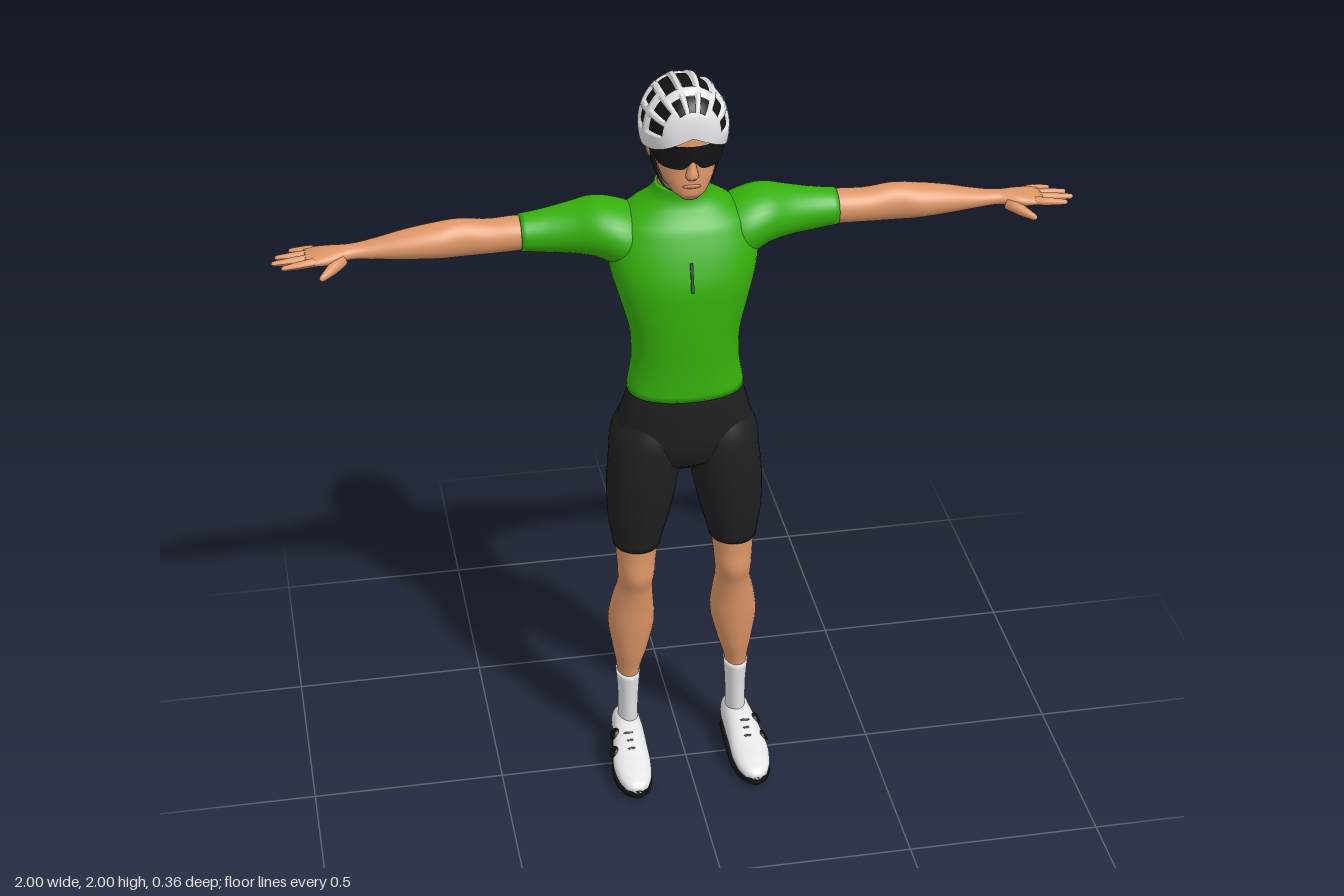
import * as THREE from 'three';

const paint = (name, color, side = THREE.FrontSide) => {
  const m = new THREE.MeshStandardMaterial({ color, side });
  m.name = name;
  return m;
};

// Catmull-Rom value between b and c
const spline = (a, b, c, d, t) =>
  0.5 * (2 * b + (c - a) * t + (2 * a - 5 * b + 4 * c - d) * t * t + (3 * b - a - 3 * c + d) * t ** 3);

// Smooth capped body through oval sections. A row is [position on axis, centre 1, centre 2, radius 1, radius 2];
// the centres and radii are x,z for axis y; y,z for axis x; x,y for axis z. Power below 1 makes boxier ovals.
function loft(axis, rows, power = 1, sides = 32, steps = 5) {
  const rings = [];
  const last = rows.length - 1;
  for (let i = 0; i < last; i++) {
    const r = [rows[Math.max(i - 1, 0)], rows[i], rows[i + 1], rows[Math.min(i + 2, last)]];
    for (let k = 0; k < steps; k++) {
      rings.push(rows[i].map((v, n) => n === 0
        ? v + (rows[i + 1][0] - v) * k / steps
        : spline(r[0][n], r[1][n], r[2][n], r[3][n], k / steps)));
    }
  }
  rings.push(rows[last]);
  const pos = [], index = [];
  const place = (s, u, v) => pos.push(...(axis === 'y' ? [u, s, v] : axis === 'x' ? [s, u, v] : [u, v, s]));
  const bend = v => Math.sign(v) * Math.abs(v) ** power;
  for (const [s, c1, c2, r1, r2] of rings) {
    for (let j = 0; j < sides; j++) {
      const a = (j / sides) * Math.PI * 2 * (axis === 'y' ? -1 : 1);
      place(s, c1 + r1 * bend(Math.cos(a)), c2 + r2 * bend(Math.sin(a)));
    }
  }
  const n = rings.length;
  for (let i = 0; i < n - 1; i++) {
    for (let j = 0; j < sides; j++) {
      const a = i * sides + j, b = i * sides + (j + 1) % sides;
      index.push(a, b, b + sides, a, b + sides, a + sides);
    }
  }
  place(...rings[0].slice(0, 3));
  place(...rings[n - 1].slice(0, 3));
  for (let j = 0; j < sides; j++) {
    const k = (j + 1) % sides, top = (n - 1) * sides;
    index.push(n * sides, k, j, n * sides + 1, top + j, top + k);
  }
  const g = new THREE.BufferGeometry();
  g.setAttribute('position', new THREE.Float32BufferAttribute(pos, 3));
  g.setIndex(index);
  g.computeVertexNormals();
  return g;
}

// Copy of a geometry on the other side of x = 0
function mirrored(geo) {
  const g = geo.clone().scale(-1, 1, 1);
  const ix = g.index.array;
  for (let i = 0; i < ix.length; i += 3) [ix[i], ix[i + 1]] = [ix[i + 1], ix[i]];
  g.computeVertexNormals();
  return g;
}

// Tapered finger with a round tip
function finger(from, to, r0, r1) {
  const a = new THREE.Vector3(...from), dir = new THREE.Vector3(...to).sub(a), len = dir.length();
  const profile = [[0.0001, 0], [r0, 0], [r0 * 0.9, len * 0.45], [r1, len - r1], [r1 * 0.7, len - r1 * 0.3], [0.0001, len]];
  const g = new THREE.LatheGeometry(profile.map(p => new THREE.Vector2(...p)), 10);
  g.applyQuaternion(new THREE.Quaternion().setFromUnitVectors(new THREE.Vector3(0, 1, 0), dir.normalize()));
  return g.translate(...from);
}

const tube = (points, r) =>
  new THREE.TubeGeometry(new THREE.CatmullRomCurve3(points.map(p => new THREE.Vector3(...p))), 24, r, 6);

// Helmet dome with sunken vents between ribs running front to back; group 0 is shell, group 1 is vents
function helmetGeometry() {
  const nt = 72, np = 108, pos = [], mask = [], shell = [], vents = [];
  const slots = [[0.38, 0.85], [1.02, 2.25], [2.4, 2.82]];
  const sideSlots = [[0.6, 1.15], [1.35, 1.85], [2.05, 2.6]];
  for (let i = 0; i <= nt; i++) {
    const t = (i / nt) * Math.PI;
    for (let j = 0; j <= np; j++) {
      const deg = -18 + (216 * j) / np, off = Math.abs(deg - 90), phi = deg * Math.PI / 180;
      const lane = Math.round(off / 26);
      const open = lane < 4 && Math.abs(off - lane * 26) < 8.5
        && (lane > 1 ? sideSlots : slots).some(([a, b]) => t > a && t < b);
      const s = Math.sin(t) ** 0.65 * (open ? 0.92 : 1);
      const z = -0.032 + 0.133 * Math.cos(t);
      pos.push(0.108 * s * Math.cos(phi), 1.868 + 0.15 * (z + 0.03) + 0.131 * s * Math.sin(phi), z);
      mask.push(open);
    }
  }
  for (let i = 0; i < nt; i++) {
    for (let j = 0; j < np; j++) {
      const a = i * (np + 1) + j, b = a + 1, c = b + np + 1, d = a + np + 1;
      (mask[a] && mask[b] && mask[c] && mask[d] ? vents : shell).push(a, b, c, a, c, d);
    }
  }
  const g = new THREE.BufferGeometry();
  g.setAttribute('position', new THREE.Float32BufferAttribute(pos, 3));
  g.setIndex([...shell, ...vents]);
  g.addGroup(0, shell.length, 0);
  g.addGroup(shell.length, vents.length, 1);
  g.computeVertexNormals();
  return g;
}

export function createModel() {
  const model = new THREE.Group();
  model.name = 'cyclist';
  const skin = paint('skin', 0xdc9566), lip = paint('lips', 0xb87350);
  const green = paint('jersey green', 0x36b00c), darkGreen = paint('zip green', 0x1a5208);
  const black = paint('shorts black', 0x202021), gloss = paint('gloss black', 0x131314, THREE.DoubleSide);
  const white = paint('white', 0xe4e4e6, THREE.DoubleSide), grey = paint('lace grey', 0x55565a);
  const add = (name, geo, mat) => {
    const m = new THREE.Mesh(geo, mat);
    m.name = name;
    model.add(m);
  };
  const both = (name, geo, mat) => {
    add('left' + name, geo, mat);
    add('right' + name, mirrored(geo), mat);
  };

  // Jersey
  add('jerseyBody', loft('y', [
    [1.162, 0, -0.012, 0.148, 0.104], [1.24, 0, -0.012, 0.136, 0.103], [1.32, 0, -0.018, 0.138, 0.112],
    [1.40, 0, -0.025, 0.158, 0.12], [1.48, 0, -0.04, 0.18, 0.132], [1.55, 0, -0.054, 0.188, 0.126],
    [1.61, 0, -0.065, 0.168, 0.112], [1.65, 0, -0.066, 0.118, 0.085], [1.678, 0, -0.06, 0.08, 0.067],
    [1.708, 0, -0.053, 0.066, 0.06]], 0.88, 48), green);
  both('Sleeve', loft('x', [
    [0.08, 1.555, -0.07, 0.07, 0.085], [0.15, 1.568, -0.072, 0.083, 0.1], [0.21, 1.587, -0.08, 0.073, 0.092],
    [0.27, 1.584, -0.09, 0.062, 0.073], [0.33, 1.58, -0.093, 0.054, 0.058], [0.395, 1.58, -0.093, 0.046, 0.05]]), green);
  add('zip', new THREE.BoxGeometry(0.007, 0.075, 0.008).rotateX(-0.26).translate(0, 1.508, 0.086), darkGreen);

  // Shorts
  add('shortsHips', loft('y', [
    [0.93, 0, -0.03, 0.07, 0.055], [0.96, 0, -0.03, 0.145, 0.09], [1.02, 0, -0.028, 0.177, 0.108],
    [1.08, 0, -0.022, 0.167, 0.108], [1.15, 0, -0.012, 0.148, 0.1], [1.2, 0, -0.012, 0.13, 0.092]], 0.92, 40), black);
  both('ShortsLeg', loft('y', [
    [0.70, 0.126, -0.02, 0.062, 0.07], [0.78, 0.121, -0.02, 0.078, 0.084], [0.88, 0.111, -0.022, 0.09, 0.099],
    [0.96, 0.102, -0.027, 0.092, 0.108], [1.03, 0.094, -0.033, 0.092, 0.11], [1.10, 0.08, -0.03, 0.078, 0.088]]), black);

  // Bare legs and socks
  both('Leg', loft('y', [
    [0.24, 0.146, -0.06, 0.028, 0.044], [0.28, 0.145, -0.06, 0.031, 0.046], [0.34, 0.141, -0.058, 0.045, 0.059],
    [0.43, 0.137, -0.055, 0.061, 0.069], [0.50, 0.134, -0.045, 0.055, 0.067], [0.56, 0.13, -0.03, 0.046, 0.062],
    [0.61, 0.128, -0.018, 0.048, 0.066], [0.66, 0.127, -0.02, 0.052, 0.064], [0.74, 0.124, -0.02, 0.06, 0.066]]), skin);
  both('Sock', loft('y', [
    [0.06, 0.148, -0.07, 0.027, 0.045], [0.13, 0.147, -0.064, 0.026, 0.043], [0.2, 0.146, -0.062, 0.0275, 0.044],
    [0.268, 0.146, -0.06, 0.032, 0.047]]), white);

  // Shoes
  const shoe = [[-0.122, 0.15, 0.058, 0.02, 0.03], [-0.1, 0.15, 0.068, 0.036, 0.05], [-0.06, 0.151, 0.07, 0.04, 0.051],
    [-0.02, 0.153, 0.068, 0.043, 0.049], [0.03, 0.157, 0.06, 0.047, 0.043], [0.08, 0.16, 0.05, 0.05, 0.033],
    [0.13, 0.16, 0.043, 0.044, 0.025], [0.165, 0.16, 0.039, 0.03, 0.017], [0.179, 0.16, 0.037, 0.012, 0.008]];
  both('Shoe', loft('z', shoe, 0.85), white);
  both('Sole', loft('z', shoe.map(([z, x, , rx]) => {
    const lift = 0.012 * Math.max(0, z / 0.18) ** 2, h = z < -0.02 ? 0.017 : 0.013;
    return [z, x, h + lift, rx + 0.001, h];
  }), 0.6), gloss);
  for (const [x, y, z] of [[0.201, 0.072, 0.048], [0.192, 0.092, -0.005]]) {
    both('ShoeDial', new THREE.CylinderGeometry(0.015, 0.018, 0.014, 16).rotateZ(-1.05).translate(x, y, z), gloss);
  }
  for (const z of [0.012, 0.035, 0.058]) {
    const y = 0.112 - 0.4 * z;
    both('ShoeLace', tube([[0.13, y - 0.012, z], [0.158, y + 0.001, z + 0.004], [0.186, y - 0.012, z]], 0.003), grey);
  }

  // Arms and hands
  both('Arm', loft('x', [
    [0.36, 1.58, -0.093, 0.041, 0.044], [0.41, 1.579, -0.093, 0.043, 0.046], [0.47, 1.577, -0.093, 0.043, 0.044],
    [0.54, 1.58, -0.093, 0.048, 0.043], [0.60, 1.578, -0.091, 0.044, 0.048], [0.68, 1.575, -0.09, 0.035, 0.041],
    [0.76, 1.57, -0.09, 0.023, 0.03], [0.81, 1.569, -0.088, 0.018, 0.025], [0.85, 1.567, -0.083, 0.02, 0.037],
    [0.89, 1.566, -0.084, 0.016, 0.044], [0.918, 1.565, -0.086, 0.01, 0.042]]), skin);
  const fingers = [[-0.052, 0.978, -0.042], [-0.075, 1.0, -0.071], [-0.097, 0.99, -0.101], [-0.118, 0.955, -0.132]];
  for (const [z, tipX, tipZ] of fingers) {
    both('Finger', finger([0.895, 1.567, z], [tipX, 1.561, tipZ], 0.0115, 0.007), skin);
  }
  both('Thumb', finger([0.83, 1.56, -0.065], [0.888, 1.543, -0.002], 0.016, 0.008), skin);

  // Neck, head and face
  add('neck', loft('y', [[1.64, 0, -0.055, 0.058, 0.054], [1.71, 0, -0.053, 0.061, 0.054],
    [1.76, 0, -0.05, 0.061, 0.056], [1.82, 0, -0.045, 0.066, 0.062]]), skin);
  add('head', loft('y', [
    [1.713, 0, 0.05, 0.022, 0.02], [1.73, 0, 0.04, 0.042, 0.043], [1.76, 0, 0.015, 0.062, 0.068],
    [1.79, 0, -0.006, 0.073, 0.087], [1.83, 0, -0.02, 0.079, 0.1], [1.87, 0, -0.025, 0.082, 0.103],
    [1.91, 0, -0.028, 0.077, 0.096], [1.95, 0, -0.032, 0.052, 0.065], [1.965, 0, -0.032, 0.02, 0.03]], 0.95), skin);
  add('nose', loft('y', [[1.772, 0, 0.08, 0.011, 0.009], [1.782, 0, 0.084, 0.016, 0.017],
    [1.805, 0, 0.081, 0.011, 0.014], [1.84, 0, 0.076, 0.008, 0.01]], 1, 16), skin);
  add('lips', new THREE.SphereGeometry(1, 16, 10).scale(0.023, 0.006, 0.006).translate(0, 1.754, 0.08), lip);
  both('Ear', new THREE.SphereGeometry(1, 16, 12).scale(0.011, 0.031, 0.019).rotateX(-0.2).translate(0.082, 1.823, -0.03), skin);

  // Wraparound sunglasses with a nose notch
  const lens = new THREE.PlaneGeometry(2, 1, 32, 4);
  const p = lens.attributes.position;
  for (let i = 0; i < p.count; i++) {
    const u = p.getX(i), a = u * 1.36, x = 0.089 * Math.sin(a);
    const low = 1.806 + 0.02 * Math.exp(-((x / 0.014) ** 2)) + 0.03 * u ** 6;
    p.setXYZ(i, x, low + (1.866 - low) * (p.getY(i) + 0.5), 0.008 + 0.09 * Math.cos(a));
  }
  lens.computeVertexNormals();
  add('sunglasses', lens, gloss);
  both('GlassesArm', new THREE.BoxGeometry(0.005, 0.012, 0.08).translate(0.086, 1.85, -0.008), gloss);

  // Helmet and chin straps
  add('helmet', helmetGeometry(), [white, gloss]);
  both('ChinStrap', tube([[0.088, 1.87, 0.016], [0.083, 1.81, 0.008], [0.071, 1.765, 0.004],
    [0.05, 1.727, 0.012], [0, 1.709, 0.03]], 0.005), gloss);
  both('RearStrap', tube([[0.085, 1.86, -0.07], [0.083, 1.81, -0.04], [0.073, 1.768, 0.002]], 0.004), gloss);
  return model;
}
